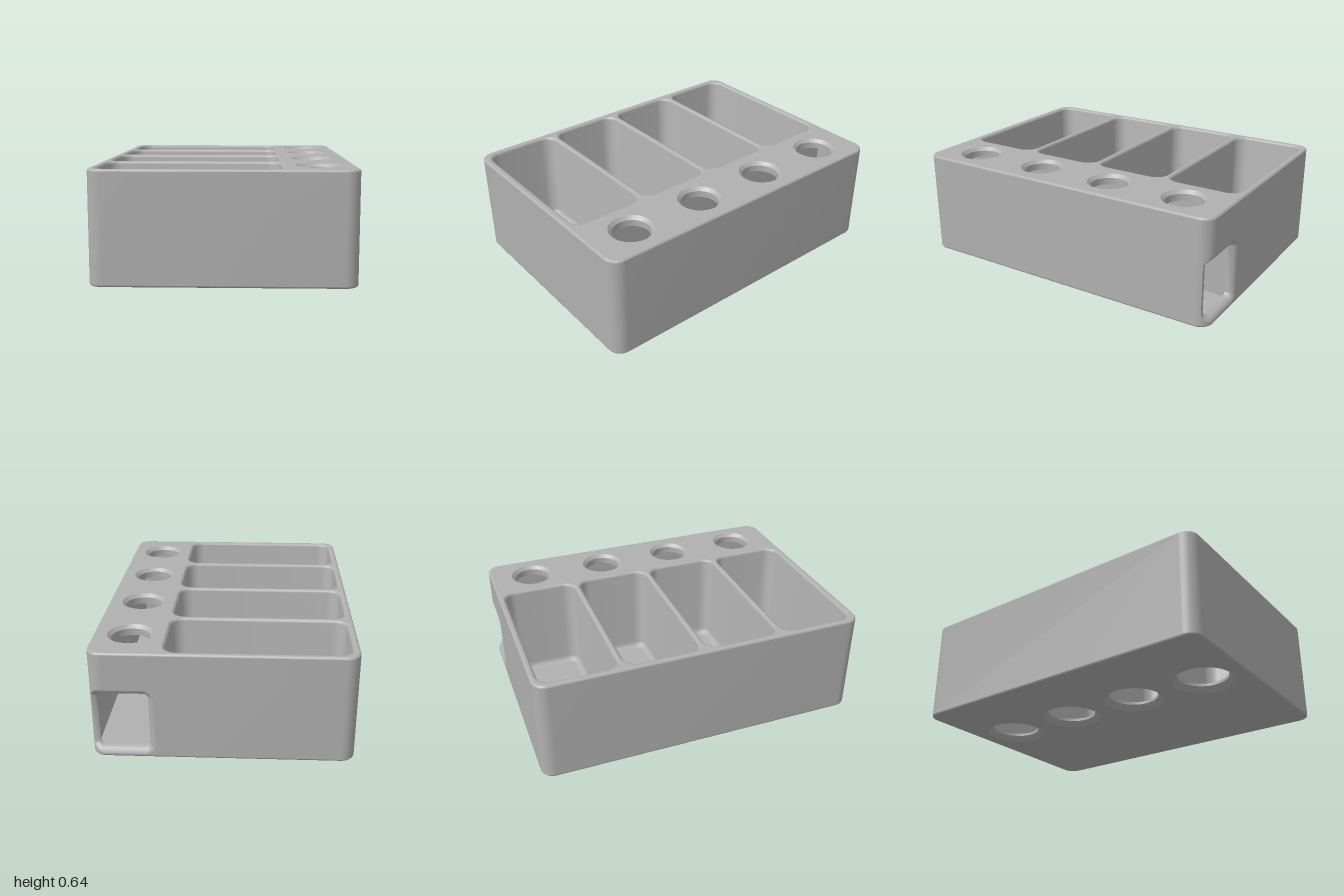
import * as THREE from 'three';
import { toCreasedNormals } from 'three/addons/utils/BufferGeometryUtils.js';

const H = 0.64, HX = 0.735, HZ = 1, R = 0.08, B = 0.012;
const CENTRES = [-0.732, -0.244, 0.244, 0.732].map((z) => z - 0.003);
const HOLE_X = 0.527, TRAY_X = -0.187;

// Rounded rectangle as a closed list of [a, b] points
function roundRect(ca, cb, ha, hb, r, n = 10) {
  const pts = [];
  [[1, 1], [-1, 1], [-1, -1], [1, -1]].forEach(([sa, sb], q) => {
    for (let i = 0; i <= n; i++) {
      const t = (q + i / n) * Math.PI / 2;
      pts.push([ca + sa * (ha - r) + r * Math.cos(t), cb + sb * (hb - r) + r * Math.sin(t)]);
    }
  });
  return pts;
}

function circle(ca, cb, r, n = 48) {
  return Array.from({ length: n }, (_, i) => {
    const t = i / n * Math.PI * 2;
    return [ca + r * Math.cos(t), cb + r * Math.sin(t)];
  });
}

const at = (pts, y) => pts.map(([x, z]) => [x, y, z]);

// Skin through a series of rings or open rows
function loft(rings, closed = true) {
  const n = rings[0].length, index = [];
  for (let j = 0; j < rings.length - 1; j++) {
    for (let i = 0; i < (closed ? n : n - 1); i++) {
      const k = (i + 1) % n, a = j * n + i, b = j * n + k;
      index.push(a, a + n, b, b, a + n, b + n);
    }
  }
  const g = new THREE.BufferGeometry();
  g.setAttribute('position', new THREE.Float32BufferAttribute(rings.flat(2), 3));
  g.setIndex(index);
  return toCreasedNormals(g, 0.6);
}

// Flat horizontal plate with holes, facing up or down
function plate(outline, holes, y, up = true) {
  const s = up ? -1 : 1;
  const v = (pts) => pts.map(([x, z]) => new THREE.Vector2(x, s * z));
  const shape = new THREE.Shape(v(outline));
  holes.forEach((h) => shape.holes.push(new THREE.Path(v(h))));
  return new THREE.ShapeGeometry(shape).rotateX(s * Math.PI / 2).translate(0, y, 0);
}

export function createModel() {
  const model = new THREE.Group();
  const grey = new THREE.MeshStandardMaterial({ color: 0xb0b0b0, side: THREE.DoubleSide });
  grey.name = 'grey plastic';
  const add = (name, geometry) => {
    const m = new THREE.Mesh(geometry, grey);
    m.name = name;
    model.add(m);
  };

  const body = (inset) => roundRect(0, 0, HX - inset, HZ - inset, R - inset);
  const tray = (cz, inset) => roundRect(TRAY_X, cz, 0.523 - inset, 0.241 - inset, 0.09 - inset);

  // Outer wall, interrupted by the slot at the back
  const sx = 0.55, sy = 0.22, sw = 0.175, sh = 0.2, sr = 0.06, x0 = sx - sw, x1 = sx + sw;
  const zBack = (x) => x <= HX - R ? -HZ : -HZ + R - Math.sqrt(R * R - (x - HX + R) ** 2);
  const wall = body(0);
  const rest = wall.filter(([x, z]) => !(z < -0.9 && x > x0 && zBack(Math.min(x, x1)) >= z - 1e-6 && x < x1));
  const start = rest.findIndex(([x, z]) => z < 0 && x >= x1);
  const path = [...rest.slice(start), ...rest.slice(0, start)];
  // Reorder so that the open path runs from the right of the slot around to its left
  const tail = path.filter(([x, z]) => x >= x1 && z < 0).sort((a, b) => a[1] - b[1]);
  const main = wall.filter(([x, z]) => z > 0 || x < 0);
  const open = [[x1, zBack(x1)], ...tail, ...main, [x0, -HZ]];
  add('outerWall', loft([at(open, B), at(open, H - B)], false));

  // Wall strips under and over the slot
  const xs = Array.from({ length: 49 }, (_, i) => sx - sw * Math.cos(i / 48 * Math.PI));
  const half = (x) => {
    const d = Math.max(0, Math.abs(x - sx) - (sw - sr));
    return sh - sr + Math.sqrt(Math.max(0, sr * sr - d * d));
  };
  const row = (f) => xs.map((x) => [x, f(x), zBack(x)]);
  add('wallBelowSlot', loft([row(() => B), row((x) => sy - half(x))], false));
  add('wallAboveSlot', loft([row((x) => sy + half(x)), row(() => H - B)], false));
  add('wallBesideSlot', loft([[[x0, sy - sh + sr, -HZ], [x0, sy + sh - sr, -HZ]],
    [[x0 + 1e-4, sy - sh + sr, -HZ], [x0 + 1e-4, sy + sh - sr, -HZ]]], false));

  // Flared slot lip
  const zIn = -0.95, flare = 0.035;
  const lip = [0, 1, 2, 3, 4].map((i) => {
    const t = i / 4 * Math.PI / 2, inset = flare * Math.sin(t);
    return roundRect(sx, sy, sw - inset, sh - inset, sr - inset).map(([x, y], k) => {
      const zo = zBack(Math.min(x1, roundRect(sx, sy, sw, sh, sr)[k][0]));
      return [x, y, zo + (zIn - zo) * (1 - Math.cos(t))];
    });
  });
  add('slotLip', loft(lip));

  // Softened top and bottom edges
  const steps = [0, 1, 2, 3].map((i) => i / 3 * Math.PI / 2);
  const edge = (y, s) => loft(steps.map((t) => at(body(B * (1 - Math.cos(t))), y + s * B * Math.sin(t))));
  add('topEdge', edge(H - B, 1));
  add('bottomEdge', edge(B, -1));

  // Top and bottom plates
  add('topPlate', plate(body(B), [
    ...CENTRES.map((z) => tray(z, 0)), ...CENTRES.map((z) => circle(HOLE_X, z, 0.13))], H));
  add('bottomPlate', plate(body(B), CENTRES.map((z) => circle(TRAY_X, z, 0.183)), 0, false));

  // Trays with drain holes, and the small round sockets beside them
  const floor = 0.05, rim = 0.016, fil = 0.035, ceiling = 0.58;
  CENTRES.forEach((z) => {
    add('trayWall', loft([
      ...steps.map((t) => at(tray(z, rim * Math.sin(t)), H - rim * (1 - Math.cos(t)))),
      ...steps.map((t) => at(tray(z, rim + fil * (1 - Math.cos(t))), floor + fil * (1 - Math.sin(t))))]));
    add('trayFloor', plate(tray(z, rim + fil), [circle(TRAY_X, z, 0.15)], floor));
    add('drainHole', loft([[0.15, floor], [0.15, 0.033], [0.183, 0]].map(([r, y]) => at(circle(TRAY_X, z, r), y))));
    add('socket', loft([[0.13, H], [0.11, H - 0.02], [0.11, ceiling]].map(([r, y]) => at(circle(HOLE_X, z, r), y))));
  });

  // Long channel beneath the sockets, reached through the slot
  const c0 = 0.39, c1 = 0.71, cz = -zIn, cf = 0.03;
  const room = [[c0, -cz], [c0, cz], [c1, cz], [c1, -cz]];
  add('channelWalls', loft([at(room, cf), at(room, ceiling)], false));
  add('channelFloor', plate(room, [], cf));
  add('channelCeiling', plate(room, CENTRES.map((z) => circle(HOLE_X, z, 0.11)), ceiling, false));
  const back = new THREE.Shape([[c0, cf], [c1, cf], [c1, ceiling], [c0, ceiling]].map((p) => new THREE.Vector2(...p)));
  back.holes.push(new THREE.Path(roundRect(sx, sy, sw - flare, sh - flare, sr - flare)
    .map((p) => new THREE.Vector2(...p))));
  add('channelBackWall', new THREE.ShapeGeometry(back).translate(0, 0, zIn));

  return model;
}
